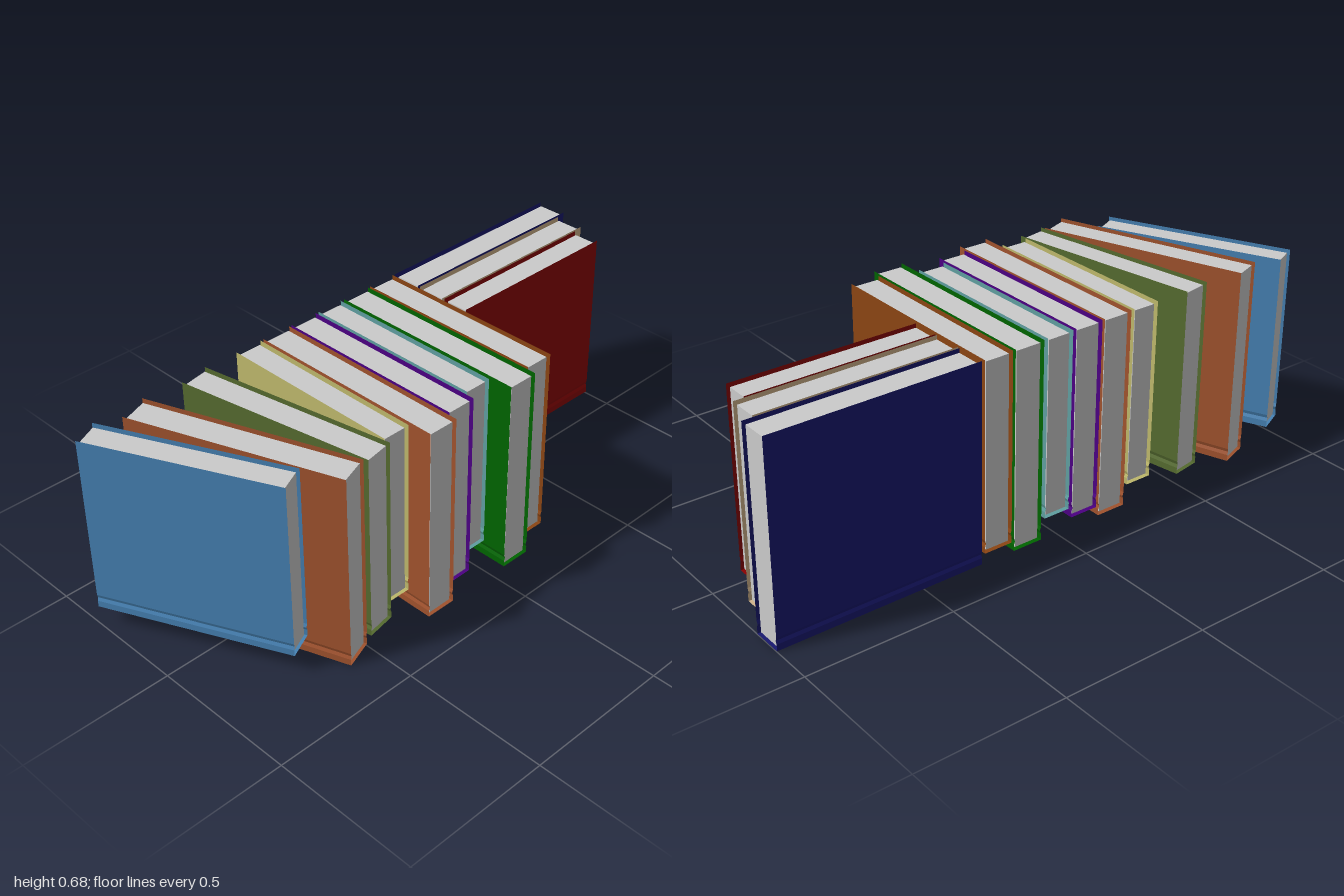
import * as THREE from 'three';

const TOP = 0.68;

// Folded cover sheet: left board, spine at the bottom, right board, with a hinge groove on each board
function coverGeometry(width, height, length) {
  const w = width / 2;
  const side = [[w, 0], [w, 0.022], [w - 0.004, 0.033], [w, 0.045], [w, height]];
  const profile = [...side.map(([x, y]) => [-x, y]).reverse(), ...side];
  const geo = new THREE.PlaneGeometry(1, 1, 1, profile.length - 1);
  const pos = geo.attributes.position;
  profile.forEach(([x, y], i) => {
    pos.setXYZ(i * 2, x, y, -length / 2);
    pos.setXYZ(i * 2 + 1, x, y, length / 2);
  });
  geo.computeVertexNormals();
  return geo;
}

function makeBook({ width, bottom, length, color }) {
  const book = new THREE.Group();
  const height = TOP - bottom;

  const cover = new THREE.Mesh(
    coverGeometry(width, height, length),
    new THREE.MeshStandardMaterial({ color, flatShading: true, side: THREE.DoubleSide })
  );
  cover.name = 'cover';

  // Page block sits just inside the cover
  const pages = new THREE.Mesh(
    new THREE.BoxGeometry(width - 0.018, height - 0.016, length - 0.014),
    new THREE.MeshStandardMaterial({ color: 0xcccccc })
  );
  pages.position.y = 0.007 + (height - 0.016) / 2;
  pages.name = 'pages';

  book.add(cover, pages);
  book.position.y = bottom;
  return book;
}

export function createModel() {
  const model = new THREE.Group();
  model.name = 'bookRow';

  // Three book formats
  const large = { width: 0.105, bottom: 0.003, length: 0.713 };
  const medium = { width: 0.101, bottom: 0.037, length: 0.676 };
  const small = { width: 0.095, bottom: 0.073, length: 0.638 };

  // name, format, colour, x, z, turn in degrees
  const books = [
    ['leaningBookBlue', small, 0x4682b4, -0.823, -0.051, 25],
    ['leaningBookSienna', large, 0xa0522d, -0.665, -0.006, 20],
    ['leaningBookOlive', medium, 0x556b2f, -0.495, -0.019, 10],
    ['uprightBookKhaki', small, 0xbdb76b, -0.337, -0.038, 0],
    ['uprightBookSienna', large, 0xa0522d, -0.225, 0, 0],
    ['uprightBookIndigo', medium, 0x4b0082, -0.112, -0.019, 0],
    ['uprightBookTeal', small, 0x5f9ea0, -0.002, -0.038, 0],
    ['uprightBookGreen', large, 0x006400, 0.112, 0, 0],
    ['uprightBookBrown', medium, 0x8b4513, 0.225, -0.019, 0],
    ['sidewaysBookNavy', large, 0x191970, 0.642, -0.303, 90],
    ['sidewaysBookTan', medium, 0xd2b48c, 0.622, -0.191, 90],
    ['sidewaysBookRed', small, 0x8b0000, 0.604, -0.086, 90],
  ];

  for (const [name, format, color, x, z, turn] of books) {
    const book = makeBook({ ...format, color });
    book.name = name;
    book.position.x = x;
    book.position.z = z;
    book.rotation.y = THREE.MathUtils.degToRad(turn);
    model.add(book);
  }
  return model;
}
